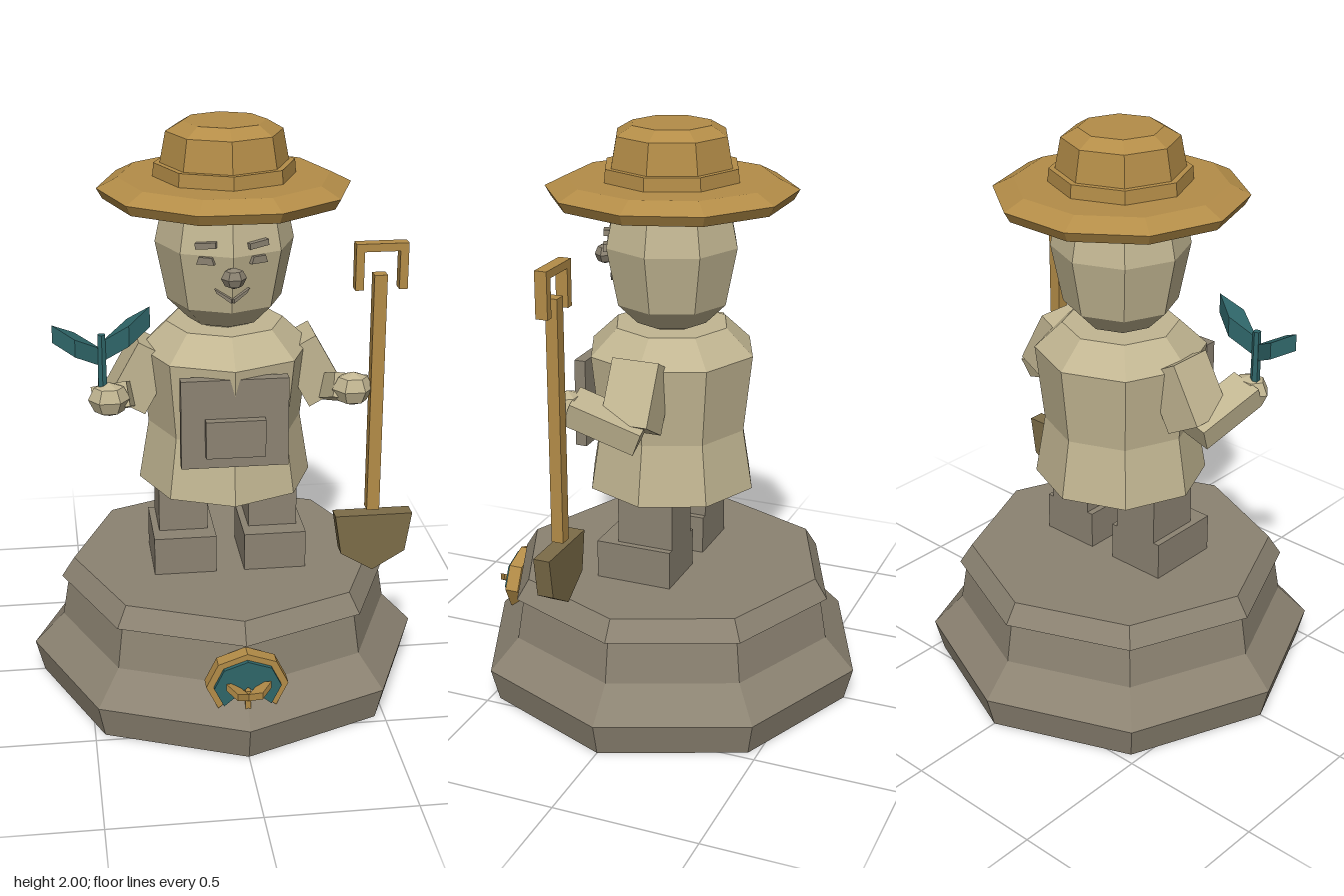
import * as THREE from 'three';

const mat = (name, color) => {
  const m = new THREE.MeshStandardMaterial({ color, flatShading: true });
  m.name = name;
  return m;
};

export function createModel() {
  const model = new THREE.Group();
  model.name = 'gardenerStatue';
  const stone = mat('stone', 0x8c8372);
  const cream = mat('creamStone', 0xc2b692);
  const gold = mat('gold', 0xb48d48);
  const teal = mat('teal', 0x2f6669);
  const bronze = mat('bronze', 0x7c6c48);

  const add = (name, geo, material, x = 0, y = 0, z = 0) => {
    const mesh = new THREE.Mesh(geo, material);
    mesh.name = name;
    mesh.position.set(x, y, z);
    model.add(mesh);
    return mesh;
  };
  // Box given by its limits on each axis
  const box = (name, m, x0, x1, y0, y1, z0, z1) => add(name,
    new THREE.BoxGeometry(x1 - x0, y1 - y0, z1 - z0), m,
    (x0 + x1) / 2, (y0 + y1) / 2, (z0 + z1) / 2);
  // Faceted solid of revolution from [radius, height] pairs, bottom to top
  const lathe = (name, m, profile, sides = 8) => add(name,
    new THREE.LatheGeometry(profile.map(([r, y]) => new THREE.Vector2(r, y)), sides), m);
  // Flat outline with a thickness, starting at z0
  const plate = (name, m, points, depth, x, y, z0) => {
    const shape = new THREE.Shape(points.map(([a, b]) => new THREE.Vector2(a, b)));
    return add(name, new THREE.ExtrudeGeometry(shape, { depth, bevelEnabled: false }), m, x, y, z0);
  };
  // Box limb running between two points
  const limb = (name, m, a, b, width, depth) => {
    const from = new THREE.Vector3(...a), to = new THREE.Vector3(...b);
    const mesh = add(name, new THREE.BoxGeometry(width, from.distanceTo(to), depth), m);
    mesh.position.copy(from).lerp(to, 0.5);
    mesh.quaternion.setFromUnitVectors(new THREE.Vector3(0, 1, 0), to.clone().sub(from).normalize());
    return mesh;
  };
  // Diamond leaf, thick in y, rising away from its base
  const leaf = (name, m, side, length, width, thick, slope, x, y, z) => {
    const shape = new THREE.Shape([[0, 0], [length * 0.55, -width / 2], [length, 0], [length * 0.55, width / 2]]
      .map(([a, b]) => new THREE.Vector2(a, b)));
    const geo = new THREE.ExtrudeGeometry(shape, { depth: thick, bevelEnabled: false });
    geo.rotateX(-Math.PI / 2);
    if (side < 0) geo.rotateY(Math.PI);
    const p = geo.attributes.position;
    for (let i = 0; i < p.count; i++) p.setY(i, p.getY(i) + Math.abs(p.getX(i)) * slope);
    return add(name, geo, m, x, y, z);
  };

  // Plinth with an overhanging top slab
  lathe('plinth', stone, [[0, 0], [0.66, 0], [0.69, 0.115], [0.585, 0.225], [0.56, 0.375],
    [0.585, 0.375], [0.54, 0.445], [0, 0.445]]);

  // Tunic, neck and head
  lathe('tunic', cream, [[0, 0.75], [0.3, 0.75], [0.265, 0.96], [0.295, 1.23], [0.2, 1.32], [0, 1.32]]);
  lathe('neck', cream, [[0.1, 1.3], [0.1, 1.36]]);
  lathe('head', cream, [[0, 1.33], [0.125, 1.33], [0.195, 1.4], [0.235, 1.6], [0.195, 1.79], [0, 1.79]]);

  // Apron with pocket
  box('apron', stone, -0.18, 0.18, 0.89, 1.2, 0.245, 0.285);
  box('apronPocket', stone, -0.1, 0.1, 0.935, 1.065, 0.28, 0.315);

  for (const s of [-1, 1]) {
    // Legs and shoes
    box('leg', stone, s * 0.157 - 0.085, s * 0.157 + 0.085, 0.57, 0.77, -0.1, 0.1);
    box('shoe', stone, s * 0.157 - 0.108, s * 0.157 + 0.108, 0.445, 0.58, -0.1, 0.17);

    // Bent arms
    limb('sleeve', cream, [s * 0.24, 1.24, 0.005], [s * 0.345, 1.05, 0.005], 0.14, 0.165);
    limb('forearm', cream, [s * 0.36, 1.035, -0.04], [s * 0.405, 1.125, 0.19], 0.12, 0.085);
    const hand = add('hand', new THREE.SphereGeometry(0.07, 6, 4), cream, s * 0.41, 1.12, 0.2);
    hand.scale.set(1, 0.85, 0.8);

    // Brows, closed eyes and smile, set on the two front facets
    const turn = s * Math.PI / 8;
    const brow = add('brow', new THREE.BoxGeometry(0.07, 0.02, 0.02), stone, s * 0.085, 1.635, 0.2);
    brow.rotation.set(0, turn, 0.1);
    const eye = plate('eye', stone, [[-0.03, -0.012], [0.03, -0.012], [0.022, 0.012], [-0.022, 0.012]],
      0.02, s * 0.082, 1.585, 0.193);
    eye.rotation.y = turn;
    const smile = plate('smile', stone, [[0, -0.012], [s * 0.058, 0.018], [s * 0.05, 0.004], [0, -0.026]],
      0.012, 0, 1.468, 0.212);
    smile.rotation.y = turn;
  }
  const nose = add('nose', new THREE.SphereGeometry(0.042, 6, 4), stone, 0, 1.535, 0.245);
  nose.scale.set(1, 0.85, 0.85);

  // Sun hat: ten-sided brim, eight-sided crown
  lathe('hatBrim', gold, [[0, 1.75], [0.405, 1.75], [0.425, 1.785], [0.355, 1.82], [0, 1.82]], 10)
    .rotation.y = Math.PI / 2;
  lathe('hatBand', gold, [[0.24, 1.81], [0.235, 1.865], [0.2, 1.865]]);
  lathe('hatCrown', gold, [[0.223, 1.82], [0.195, 1.968], [0.14, 2], [0, 2]]);

  // Spade: shaft, open grip and pointed blade
  box('spadeShaft', gold, 0.468, 0.512, 0.675, 1.52, 0.18, 0.222);
  box('spadeGripTop', gold, 0.405, 0.58, 1.6, 1.627, 0.18, 0.222);
  box('spadeGripSide', gold, 0.405, 0.433, 1.47, 1.612, 0.18, 0.222);
  box('spadeGripSide', gold, 0.552, 0.58, 1.47, 1.612, 0.18, 0.222);
  plate('spadeBlade', bronze, [[-0.135, 0.21], [-0.113, 0.068], [0, 0], [0.113, 0.068], [0.135, 0.21]],
    0.058, 0.492, 0.45, 0.175);

  // Seedling held in the right hand
  add('seedlingStem', new THREE.CylinderGeometry(0.014, 0.017, 0.2, 6), teal, -0.43, 1.245, 0.195);
  leaf('seedlingLeaf', teal, -1, 0.16, 0.08, 0.06, 0.55, -0.43, 1.235, 0.195);
  leaf('seedlingLeaf', teal, 1, 0.16, 0.08, 0.07, 0.72, -0.43, 1.25, 0.195);

  // Badge on the plinth: three-quarter ring, disc and small sprout
  const arc = (rx, ry) => Array.from({ length: 7 }, (_, i) => {
    const a = (i - 1) * Math.PI / 4;
    return [rx * Math.cos(a), ry * Math.sin(a)];
  });
  plate('badgeRing', gold, [...arc(0.137, 0.115), ...arc(0.11, 0.092).reverse()], 0.05, 0, 0.245, 0.56);
  plate('badgeDisc', teal, [...arc(0.112, 0.094), [0, 0]], 0.025, 0, 0.245, 0.6);
  box('sproutStem', gold, -0.009, 0.009, 0.17, 0.235, 0.605, 0.635);
  for (const s of [-1, 1]) leaf('sproutLeaf', gold, s, 0.075, 0.07, 0.025, 0.6, 0, 0.205, 0.645);

  return model;
}
